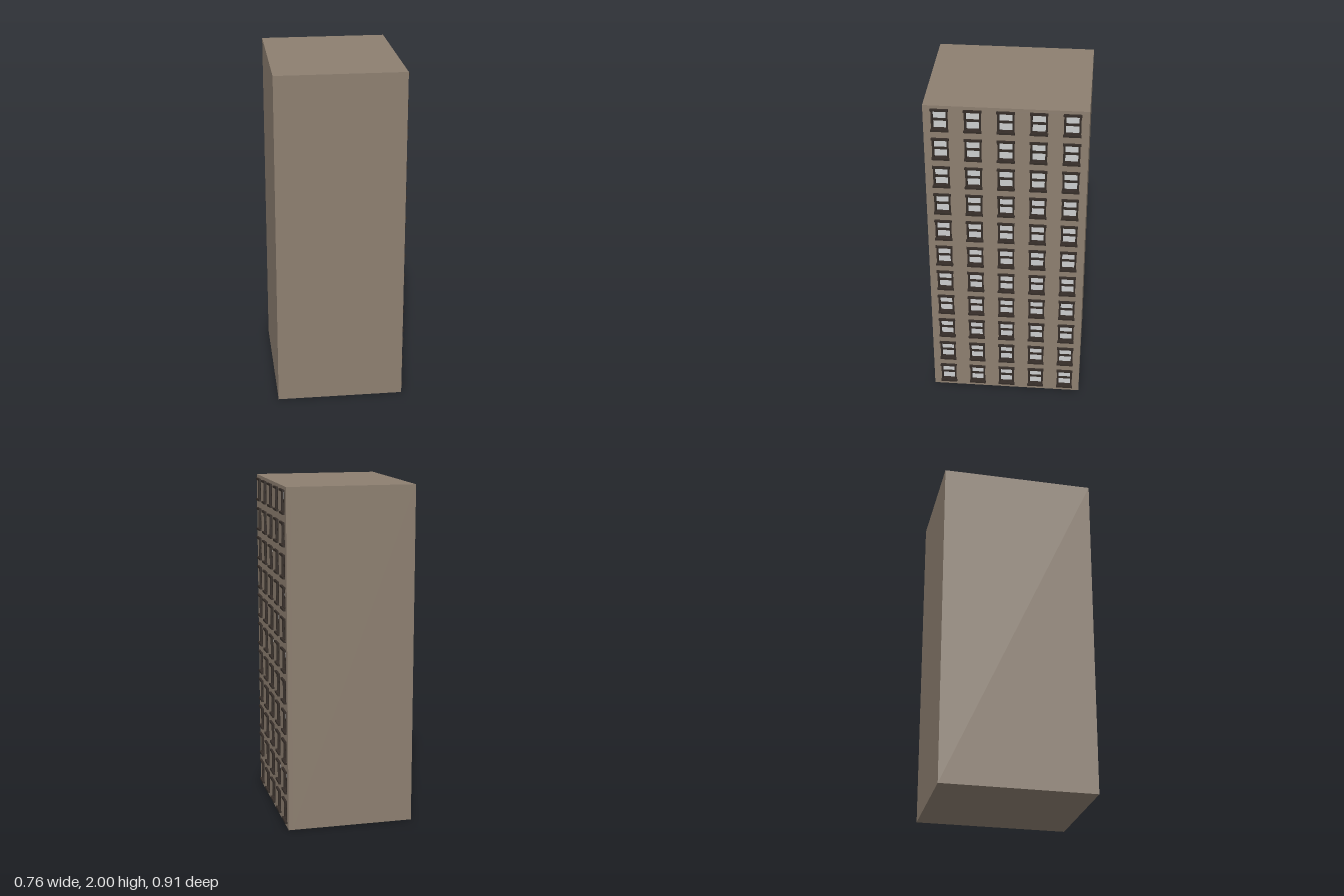
import * as THREE from 'three';
import { mergeGeometries } from 'three/addons/utils/BufferGeometryUtils.js';

const X0 = -0.38, FACE = 0.367, DEPTH = 0.025, H = 2, W = 0.907;
const ROWS = 11, COLS = 5;

const material = (name, color) => {
  const m = new THREE.MeshStandardMaterial({ color });
  m.name = name;
  return m;
};

// Adds a counter-clockwise rectangle to a shape or path
function rect(path, x0, y0, x1, y1) {
  path.moveTo(x0, y0);
  path.lineTo(x1, y0);
  path.lineTo(x1, y1);
  path.lineTo(x0, y1);
  path.closePath();
  return path;
}

// Extrudes an upright shape into a slab facing +x, starting at x
function slab(shape, x, depth) {
  return new THREE.ExtrudeGeometry(shape, { depth, bevelEnabled: false })
    .rotateY(Math.PI / 2).translate(x, 0, 0);
}

// Box given by its x range, y range and width along z
function bar(x0, x1, y0, y1, width) {
  return new THREE.BoxGeometry(x1 - x0, y1 - y0, width)
    .translate((x0 + x1) / 2, (y0 + y1) / 2, 0);
}

export function createModel() {
  const group = new THREE.Group();
  const wall = material('brown wall', 0x8d7f70);
  const dark = material('dark frame', 0x352d28);
  const pane = material('pale glass', 0xcbcdce);
  const add = (name, geometry, mat) => {
    const mesh = new THREE.Mesh(geometry, mat);
    mesh.name = name;
    group.add(mesh);
  };

  // Window centres on the facade
  const centres = [];
  for (let r = 0; r < ROWS; r++)
    for (let c = 0; c < COLS; c++)
      centres.push([(r + 0.5) * H / ROWS, ((c + 0.5) / COLS - 0.5) * W]);
  const repeat = (g) => mergeGeometries(centres.map(([y, z]) => g.clone().translate(0, y, z)));

  // Solid block behind the pierced facade
  add('buildingBlock', bar(X0, FACE - DEPTH, 0, H, W), wall);
  const facade = rect(new THREE.Shape(), -W / 2, 0, W / 2, H);
  for (const [y, z] of centres)
    facade.holes.push(rect(new THREE.Path(), -z - 0.047, y - 0.064, -z + 0.047, y + 0.068));
  add('windowFacade', slab(facade, FACE - DEPTH, DEPTH), wall);

  // Frames lining each opening
  const frame = rect(new THREE.Shape(), -0.047, -0.064, 0.047, 0.068);
  frame.holes.push(rect(new THREE.Path(), -0.036, -0.053, 0.036, 0.06));
  add('windowFrames', repeat(slab(frame, FACE - DEPTH, DEPTH + 0.0005)), dark);

  // Projecting lintels and sills
  add('lintels', repeat(bar(FACE - 0.005, 0.38, 0.06, 0.072, 0.1)), dark);
  add('sills', repeat(bar(FACE - 0.005, 0.38, -0.066, -0.054, 0.1)), dark);

  // Sliding sashes: the upper pane sits forward of the lower one
  add('upperPanes', repeat(bar(0.343, 0.354, 0.006, 0.06, 0.072)), pane);
  add('lowerPanes', repeat(bar(0.343, 0.347, -0.053, 0, 0.072)), pane);
  add('meetingRails', repeat(bar(0.343, 0.358, -0.006, 0.009, 0.072)), dark);

  return group;
}
